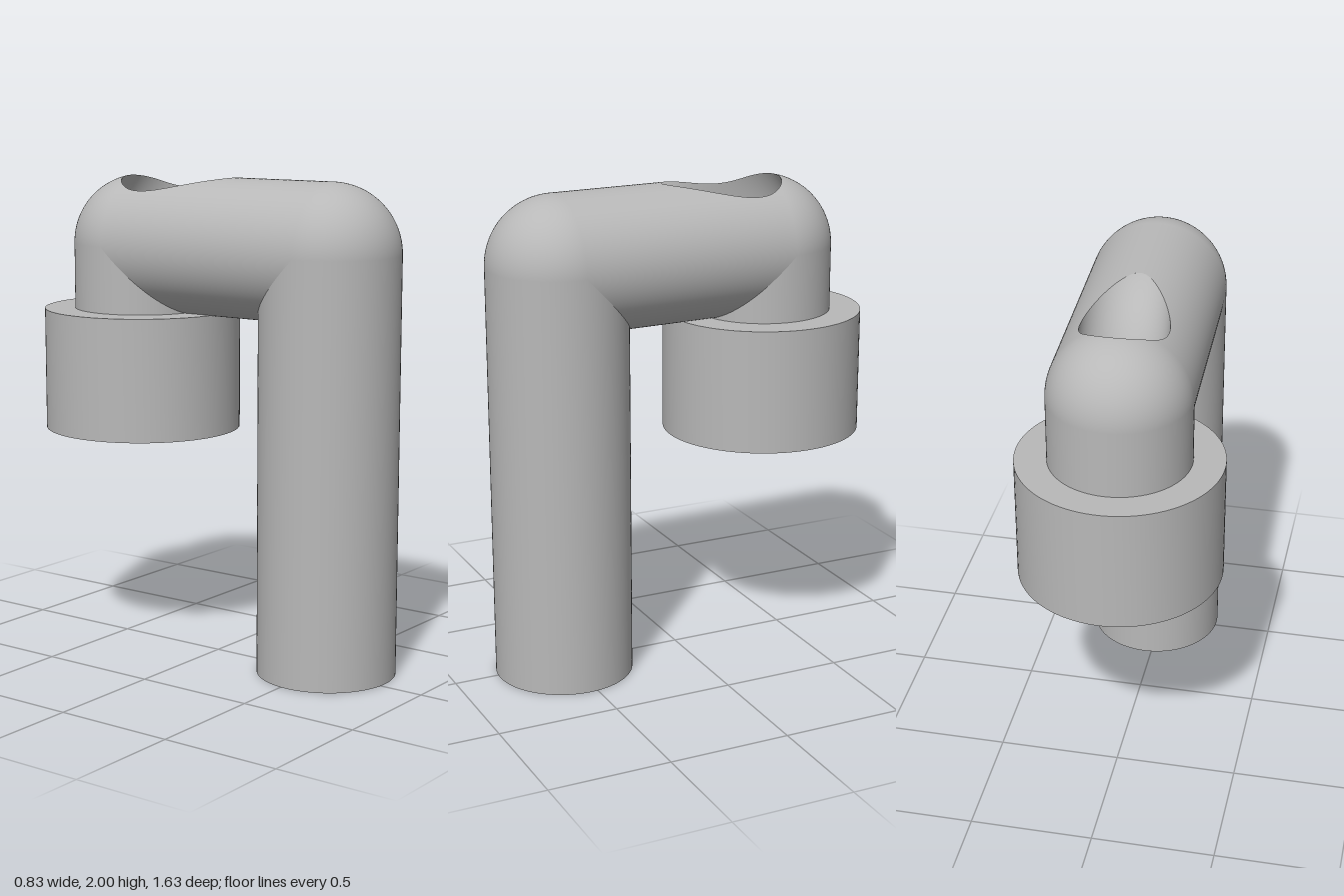
import * as THREE from 'three';
import { toCreasedNormals } from 'three/addons/utils/BufferGeometryUtils.js';

const R = 0.285;       // pipe radius
const TOP = 1.715;     // height of the horizontal pipe axis
const LEN = 0.93;      // distance between the two vertical axes
const BORE = 0.172;    // bore radius
const BEND = 0.602;    // radius of the bore's bend
const BEND_Y = 1.591;  // height where the bend starts
const BORE_Y = 1.06;   // lower end of the bore, above the counterbore
const SEG = 96;

// Signed distance to the curved bore (negative inside)
function boreDistance(p) {
  if (p.z > BEND) return Math.hypot(p.x, p.y - BEND_Y - BEND) - BORE;
  if (p.y < BEND_Y) return Math.hypot(p.x, p.z) - BORE;
  return Math.hypot(p.x, Math.hypot(p.z - BEND, p.y - BEND_Y) - BEND) - BORE;
}

// Depth below the outer skin of the back leg and the pipe (positive inside)
function solidDepth(p) {
  const leg = Math.hypot(p.x, Math.max(p.y - TOP, 0), p.z);
  const along = THREE.MathUtils.clamp(p.z, 0, LEN);
  const pipe = Math.hypot(p.x, p.y - TOP, p.z - along);
  return R - Math.min(leg, pipe);
}

// Keeps the part of a geometry where keep(p) >= 0; flip turns the faces inward
function clip(geometry, keep, flip = false) {
  const src = geometry.index ? geometry.toNonIndexed() : geometry;
  const pos = src.attributes.position, nor = src.attributes.normal;
  const outP = [], outN = [];
  const cross = (a, b) => {
    let lo = 0, hi = 1;
    const p = new THREE.Vector3();
    for (let i = 0; i < 20; i++) {
      const mid = (lo + hi) / 2;
      if ((keep(p.lerpVectors(a.p, b.p, mid)) >= 0) === (a.f >= 0)) lo = mid;
      else hi = mid;
    }
    return { p, n: a.n.clone().lerp(b.n, lo).normalize(), f: 0 };
  };
  for (let i = 0; i < pos.count; i += 3) {
    const tri = [0, 1, 2].map((k) => {
      const p = new THREE.Vector3().fromBufferAttribute(pos, i + k);
      return { p, n: new THREE.Vector3().fromBufferAttribute(nor, i + k), f: keep(p) };
    });
    const poly = [];
    tri.forEach((a, k) => {
      const b = tri[(k + 1) % 3];
      if (a.f >= 0) poly.push(a);
      if ((a.f >= 0) !== (b.f >= 0)) poly.push(cross(a, b));
    });
    for (let k = 1; k + 1 < poly.length; k++) {
      const face = flip ? [poly[0], poly[k + 1], poly[k]] : [poly[0], poly[k], poly[k + 1]];
      for (const v of face) {
        outP.push(v.p.x, v.p.y, v.p.z);
        const s = flip ? -1 : 1;
        outN.push(v.n.x * s, v.n.y * s, v.n.z * s);
      }
    }
  }
  const out = new THREE.BufferGeometry();
  out.setAttribute('position', new THREE.Float32BufferAttribute(outP, 3));
  out.setAttribute('normal', new THREE.Float32BufferAttribute(outN, 3));
  return out;
}

// Bore centre line: straight up, then a quarter bend towards the front post
class BorePath extends THREE.Curve {
  getPoint(t, target = new THREE.Vector3()) {
    const straight = BEND_Y - BORE_Y;
    const s = t * (straight + BEND * Math.PI / 2);
    if (s < straight) return target.set(0, BORE_Y + s, 0);
    const a = (s - straight) / BEND;
    return target.set(0, BEND_Y + BEND * Math.sin(a), BEND * (1 - Math.cos(a)));
  }
}

export function createModel() {
  const model = new THREE.Group();
  model.name = 'bentPipe';
  const grey = new THREE.MeshStandardMaterial({ color: 0xb8b8b8 });
  grey.name = 'plain grey';

  // Local frame: origin on the back leg's axis, +z along the horizontal pipe
  const body = new THREE.Group();
  body.name = 'body';
  body.position.z = -0.4;
  body.rotation.y = Math.atan2(0.03, LEN);
  model.add(body);

  const add = (name, geometry) => {
    const mesh = new THREE.Mesh(geometry, grey);
    mesh.name = name;
    body.add(mesh);
  };
  const dome = () => new THREE.SphereGeometry(R, SEG, 32, 0, Math.PI * 2, 0, Math.PI / 2);

  // Front post with its rounded elbow
  add('frontPost', new THREE.CylinderGeometry(R, R, TOP, SEG).translate(0, TOP / 2, LEN));
  add('frontElbow', dome().translate(0, TOP, LEN));

  // Horizontal pipe, opened by the bore
  const pipe = new THREE.CylinderGeometry(R, R, LEN, SEG, 64, true)
    .rotateX(Math.PI / 2).translate(0, TOP, LEN / 2);
  add('horizontalPipe', clip(pipe, boreDistance));

  // Back leg and its rounded elbow
  const leg = new THREE.CylinderGeometry(R, R, TOP - 1.4, SEG, 8, true)
    .translate(0, (TOP + 1.4) / 2, 0);
  add('backLeg', clip(leg, boreDistance));
  add('backElbow', clip(dome().translate(0, TOP, 0), boreDistance));

  // Curved bore wall, trimmed to the outer skin
  const wall = new THREE.TubeGeometry(new BorePath(), 96, BORE, SEG);
  add('boreWall', clip(wall, solidDepth, true));

  // Collar with a tapered counterbore
  const profile = [
    [BORE, BORE_Y], [0.193, BORE_Y], [0.207, 1.02], [0.227, 0.93],
    [0.413, 0.93], [0.413, 1.44], [0.2, 1.44],
  ].map(([r, y]) => new THREE.Vector2(r, y));
  add('collar', toCreasedNormals(new THREE.LatheGeometry(profile, SEG), 0.5));

  return model;
}
